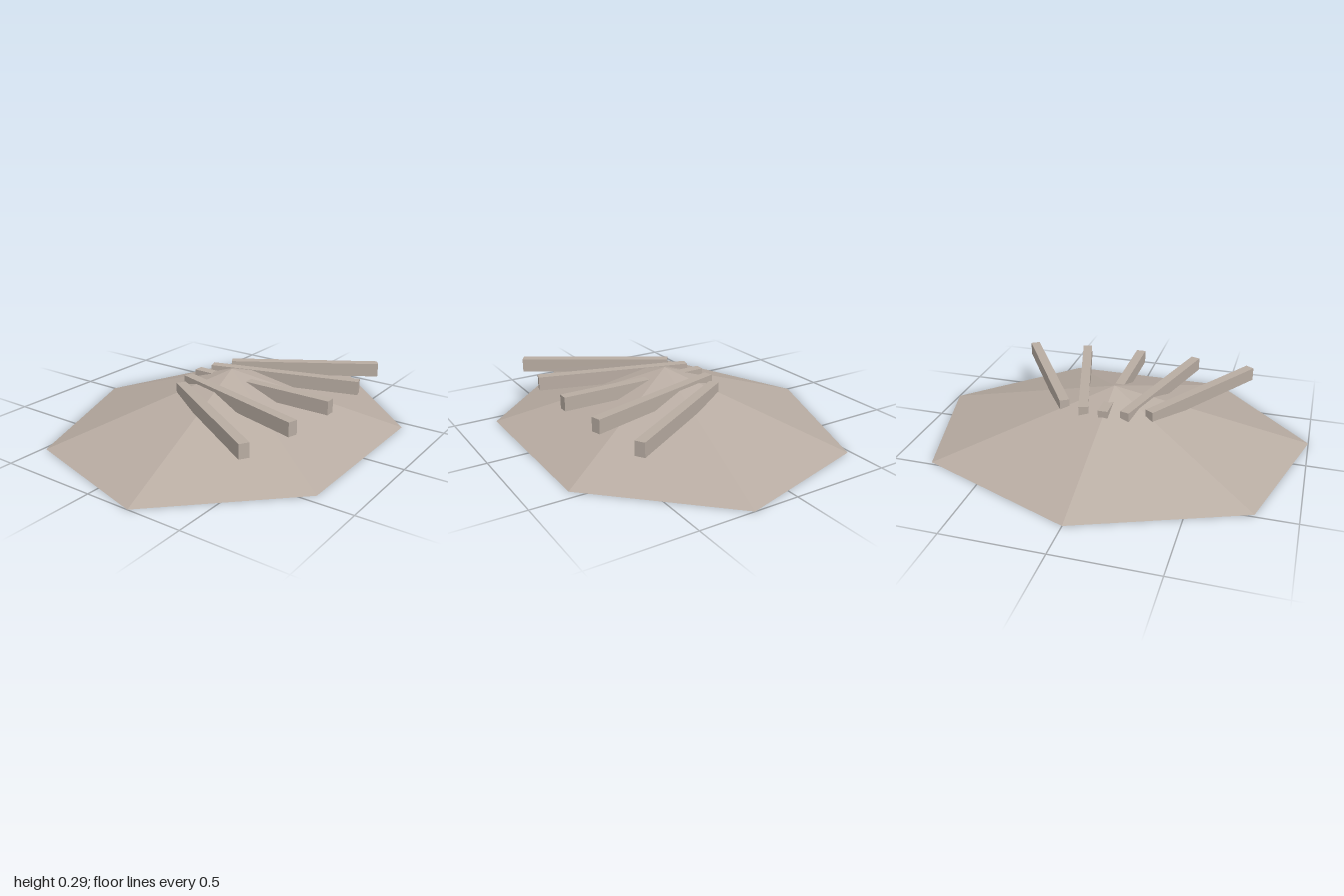
import * as THREE from 'three';

export function createModel() {
  const model = new THREE.Group();
  const stone = new THREE.MeshStandardMaterial({ color: 0xb8aca2, flatShading: true });
  stone.name = 'warm grey stone';

  // Seven-sided low mound, one corner pointing back
  const moundGeometry = new THREE.ConeGeometry(1, 0.29, 7, 1, false, Math.PI);
  moundGeometry.scale(1.0257, 1, 0.84);
  const mound = new THREE.Mesh(moundGeometry, stone);
  mound.name = 'mound';
  mound.position.set(0, 0.145, 0.04);
  model.add(mound);

  // Five level bars fanning out towards the front
  const barGeometry = new THREE.BoxGeometry(0.05, 0.07, 0.786);
  const bars = new THREE.Group();
  bars.name = 'fannedBars';
  for (let i = -2; i <= 2; i++) {
    const bar = new THREE.Mesh(barGeometry, stone);
    bar.name = `bar${i + 3}`;
    bar.position.set(i * 0.2145, 0.215, i === 0 ? 0.217 : 0.22);
    bar.rotation.y = THREE.MathUtils.degToRad(i * 16);
    bars.add(bar);
  }
  model.add(bars);
  return model;
}
